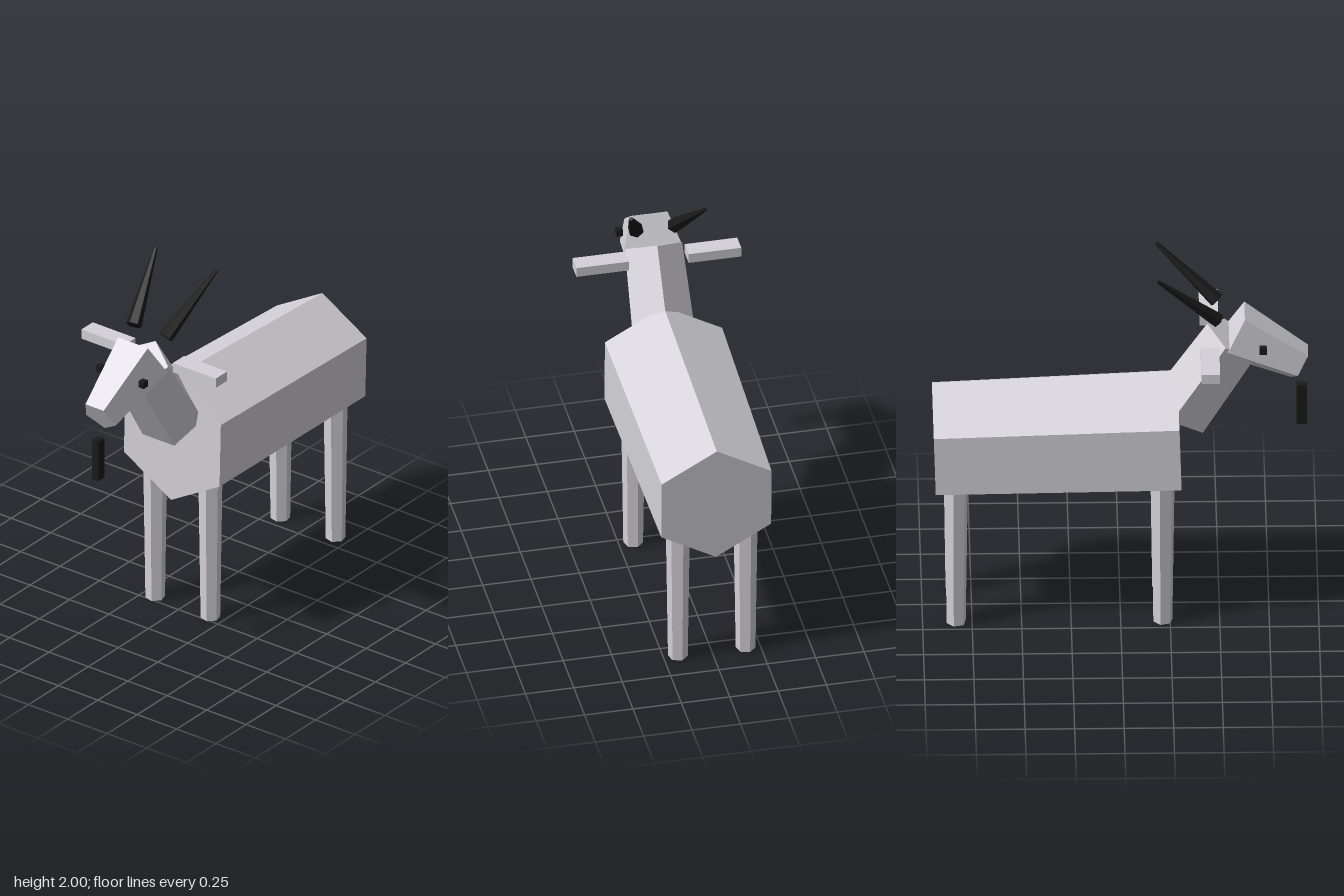
import * as THREE from 'three';

const coat = new THREE.MeshStandardMaterial({ color: 0xd4d2d8, flatShading: true });
coat.name = 'pale grey coat';
const dark = new THREE.MeshStandardMaterial({ color: 0x1a1a1a, flatShading: true });
dark.name = 'near black';

// Tapered prism running from point a (radius ra) to point b (radius rb)
function prism(name, a, b, ra, rb, sides, material, turn = 0) {
  const from = new THREE.Vector3(...a);
  const to = new THREE.Vector3(...b);
  const axis = to.clone().sub(from);
  const geometry = new THREE.CylinderGeometry(rb, ra, axis.length(), sides, 1, false, turn);
  const mesh = new THREE.Mesh(geometry, material);
  mesh.name = name;
  mesh.position.copy(from).add(to).multiplyScalar(0.5);
  mesh.quaternion.setFromUnitVectors(new THREE.Vector3(0, 1, 0), axis.normalize());
  return mesh;
}

function box(name, size, position, material) {
  const mesh = new THREE.Mesh(new THREE.BoxGeometry(...size), material);
  mesh.name = name;
  mesh.position.set(...position);
  return mesh;
}

export function createModel() {
  const goat = new THREE.Group();
  goat.name = 'goat';

  // Six-sided body, slightly higher and wider at the chest
  goat.add(prism('body', [0, 0.97, -0.94], [0, 1.008, 0.3], 0.328, 0.35, 6, coat));

  // Five-sided neck with its ridge behind, and head with its ridge below
  goat.add(prism('neck', [0, 1.124, 0.3], [0, 1.546, 0.571], 0.17, 0.156, 5, coat, Math.PI));
  goat.add(prism('head', [0, 1.589, 0.566], [0, 1.4, 0.91], 0.16, 0.098, 5, coat));

  // Beard hanging below the muzzle
  goat.add(box('beard', [0.04, 0.225, 0.053], [0, 1.162, 0.917], dark));

  for (const [side, s] of [['left', 1], ['right', -1]]) {
    // Legs, narrowing to the feet
    for (const [end, z] of [['front', 0.213], ['hind', -0.83]]) {
      goat.add(prism(`${side} ${end} leg`, [s * 0.175, 0, z], [s * 0.175, 0.85, z],
        0.05, 0.062, 6, coat, Math.PI / 12));
    }
    // Horns, ears and eyes
    goat.add(prism(`${side} horn`, [s * 0.1, 1.71, 0.49], [s * 0.193, 1.993, 0.185],
      0.041, 0.01, 6, dark));
    goat.add(box(`${side} ear`, [0.272, 0.053, 0.094], [s * 0.29, 1.554, 0.451], coat));
    goat.add(box(`${side} eye`, [0.033, 0.036, 0.036], [s * 0.135, 1.552, 0.72], dark));
  }

  return goat;
}
